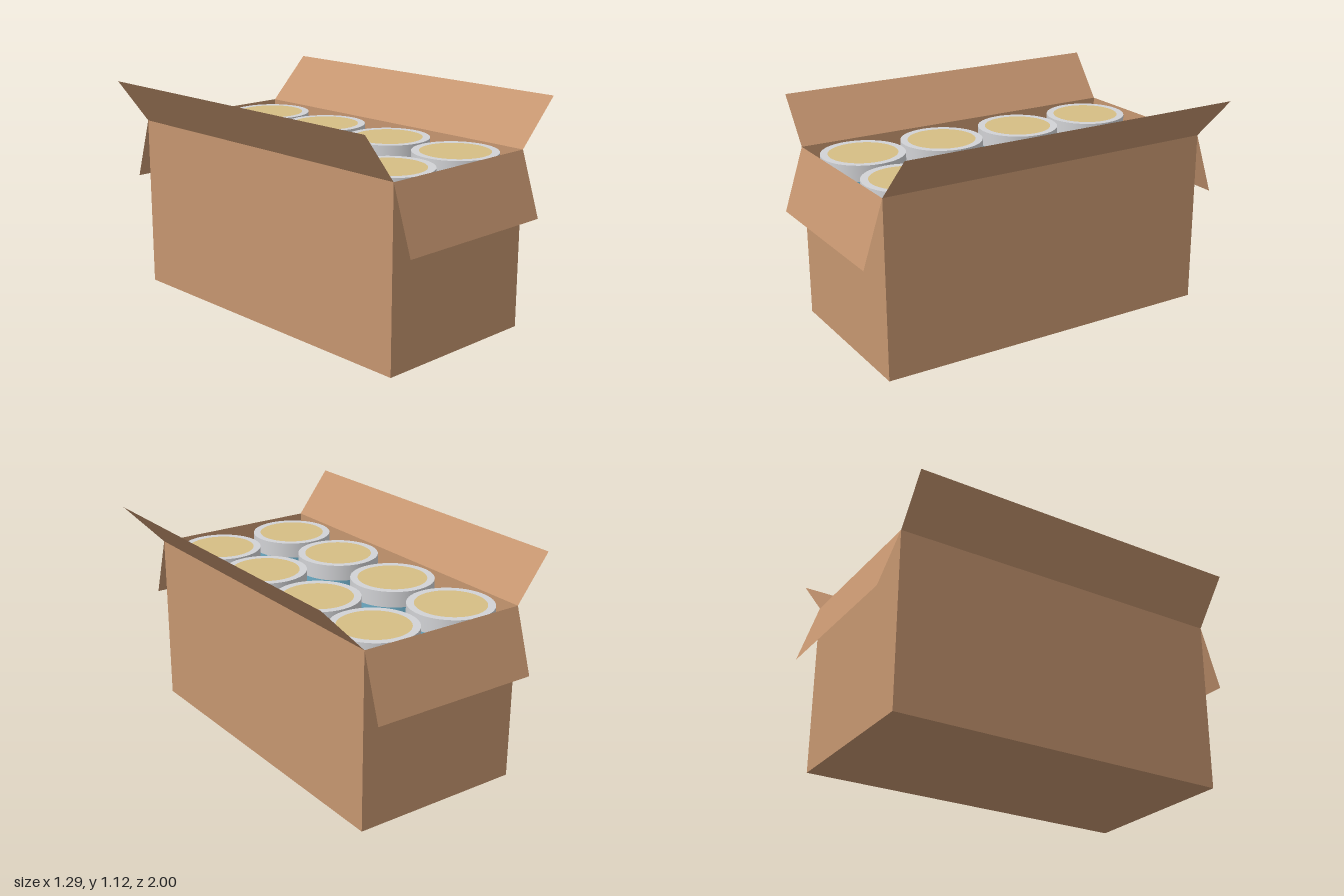
import * as THREE from 'three';

const X0 = -0.47, X1 = 0.42, Z = 0.895, H = 0.895; // carton extents

const mat = (name, color, side = THREE.FrontSide) => {
  const m = new THREE.MeshStandardMaterial({ color, side });
  m.name = name;
  return m;
};

// Flat sheet through four corners, counter-clockwise from its front
function sheet(name, corners, material) {
  const g = new THREE.BufferGeometry();
  g.setAttribute('position', new THREE.Float32BufferAttribute(corners.flat(), 3));
  g.setIndex([0, 1, 2, 0, 2, 3]);
  g.computeVertexNormals();
  const mesh = new THREE.Mesh(g, material);
  mesh.name = name;
  return mesh;
}

// Surface of revolution from [radius, height] pairs; corners are kept sharp by separate segments
function turned(name, profile, material) {
  const group = new THREE.Group();
  group.name = name;
  for (let i = 0; i < profile.length - 1; i++) {
    const pts = [profile[i], profile[i + 1]].map(([r, y]) => new THREE.Vector2(r, y));
    const mesh = new THREE.Mesh(new THREE.LatheGeometry(pts, 48), material);
    mesh.name = name + 'Face';
    group.add(mesh);
  }
  return group;
}

function createCan(mats) {
  const can = new THREE.Group();
  can.name = 'can';
  const R = 0.21, r = 0.2, top = 0.885;
  can.add(
    turned('bottomRim', [[0, 0.006], [R, 0.006], [R, 0.08], [r, 0.08]], mats.metal),
    turned('labelBody', [[r, 0.08], [r, top - 0.08]], mats.label),
    turned('topRim', [[r, top - 0.08], [R, top - 0.08], [R, top], [0.173, top]], mats.metal),
    turned('lid', [[0.173, top], [0, top]], mats.lid),
  );
  return can;
}

export function createModel() {
  const model = new THREE.Group();
  model.name = 'cartonOfCans';
  const card = mat('cardboard', 0xc69670, THREE.DoubleSide);
  const mats = {
    metal: mat('canMetal', 0xd2d3d6),
    label: mat('blueLabel', 0x6cacc6),
    lid: mat('goldLid', 0xd6be85),
  };

  // Carton floor and walls
  model.add(
    sheet('floor', [[X0, 0, -Z], [X1, 0, -Z], [X1, 0, Z], [X0, 0, Z]], card),
    sheet('frontWall', [[X0, 0, Z], [X1, 0, Z], [X1, H, Z], [X0, H, Z]], card),
    sheet('backWall', [[X1, 0, -Z], [X0, 0, -Z], [X0, H, -Z], [X1, H, -Z]], card),
    sheet('leftWall', [[X1, 0, Z], [X1, 0, -Z], [X1, H, -Z], [X1, H, Z]], card),
    sheet('rightWall', [[X0, 0, -Z], [X0, 0, Z], [X0, H, Z], [X0, H, -Z]], card),
  );

  // Raised side flaps and drooping end flaps
  const top = 1.125, low = 0.575;
  model.add(
    sheet('leftFlap', [[X1, H, Z], [X1, H, -Z], [0.645, top, -Z], [0.645, top, Z]], card),
    sheet('rightFlap', [[X0, H, -Z], [X0, H, Z], [-0.645, top, Z], [-0.645, top, -Z]], card),
    sheet('frontFlap', [[X0, low, 1], [X1, low, 1], [X1, H, Z], [X0, H, Z]], card),
    sheet('backFlap', [[X1, low, -1], [X0, low, -1], [X0, H, -Z], [X1, H, -Z]], card),
  );

  // Two columns of four cans
  for (const x of [-0.253, 0.2]) {
    for (const z of [-0.675, -0.235, 0.225, 0.665]) {
      const can = createCan(mats);
      can.position.set(x, 0, z);
      model.add(can);
    }
  }
  return model;
}
